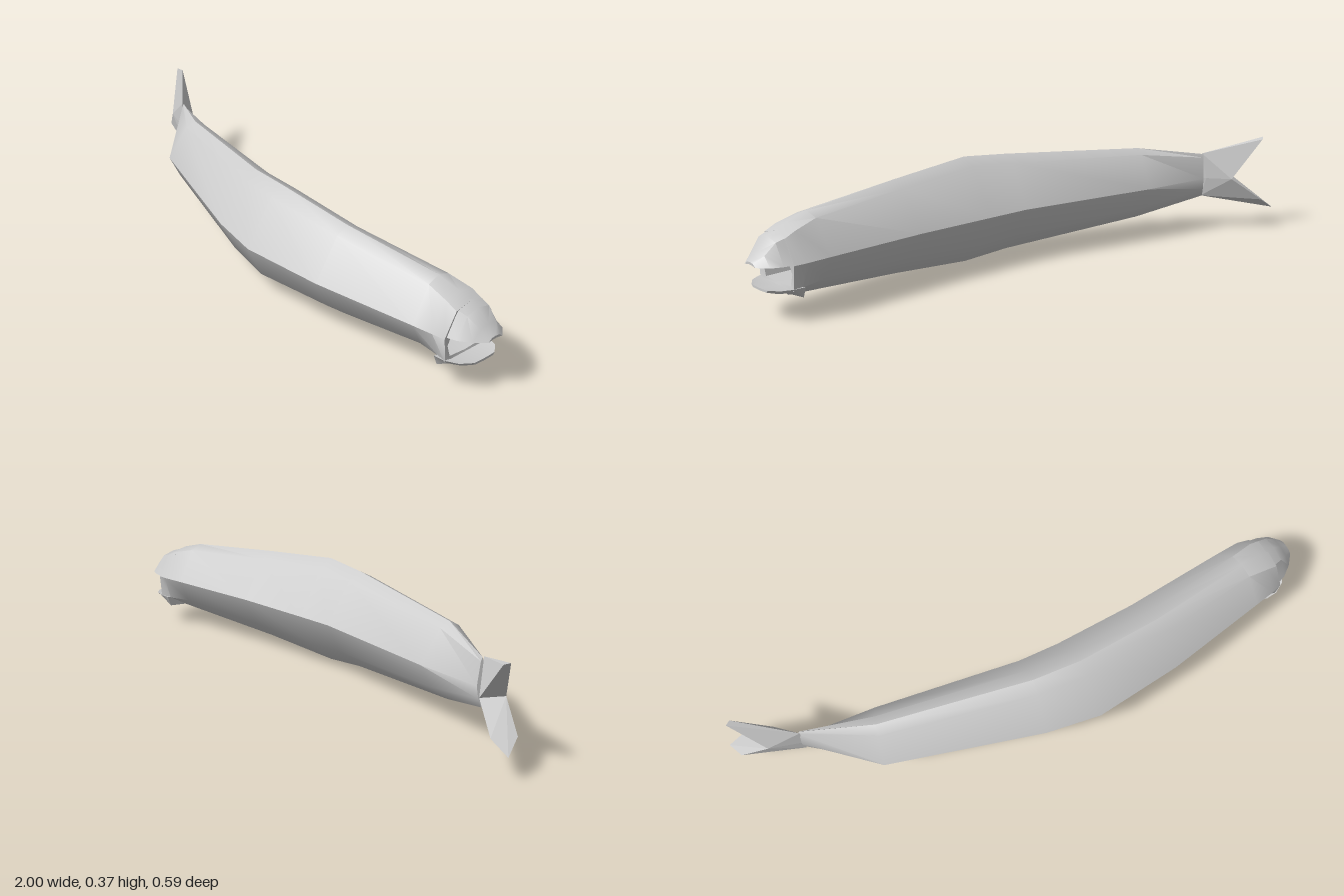
import * as THREE from 'three';
import { toCreasedNormals } from 'three/addons/utils/BufferGeometryUtils.js';
import { ConvexGeometry } from 'three/addons/geometries/ConvexGeometry.js';

const material = new THREE.MeshStandardMaterial({ color: 0xcccccc, side: THREE.DoubleSide });

// Skins a row of equal-length rings running along +x and caps both ends.
function loft(rings, crease = 0.7) {
  const n = rings[0].length;
  const pos = rings.flat(2);
  const index = [];
  for (let i = 0; i < rings.length - 1; i++) {
    for (let j = 0; j < n; j++) {
      const a = i * n + j, b = i * n + (j + 1) % n, c = a + n, d = b + n;
      index.push(a, c, b, b, c, d);
    }
  }
  [0, rings.length - 1].forEach((r, end) => {
    const centre = pos.length / 3;
    for (let k = 0; k < 3; k++) pos.push(rings[r].reduce((s, p) => s + p[k], 0) / n);
    for (let j = 0; j < n; j++) {
      const a = r * n + j, b = r * n + (j + 1) % n;
      index.push(centre, end ? b : a, end ? a : b);
    }
  });
  const geo = new THREE.BufferGeometry();
  geo.setAttribute('position', new THREE.Float32BufferAttribute(pos, 3));
  geo.setIndex(index);
  return toCreasedNormals(geo, crease);
}

// Eight-sided section: side, shoulder, back ridge, mirrored, then belly.
function section({ x, z, yaw = 0, w, mid = 0.187, top, bottom, up = [0.33, 0.86], low = [0.63, 0.6] }) {
  const U = top - mid, L = bottom - mid;
  const outline = [
    [1, 0], [up[0], up[1] * U], [0, U], [-up[0], up[1] * U],
    [-1, 0], [-low[0], low[1] * L], [0, L], [low[0], low[1] * L],
  ];
  return outline.map(([s, h]) => [x - Math.sin(yaw) * s * w, mid + h, z + Math.cos(yaw) * s * w]);
}

export function createModel() {
  const fish = new THREE.Group();
  fish.name = 'fish';
  const add = (name, geo) => {
    const mesh = new THREE.Mesh(geo, material);
    mesh.name = name;
    fish.add(mesh);
  };

  // Curved body; the last two sections fold back in as the mouth cavity.
  const jaw = { up: [0.55, 0.85], low: [0.85, 0.72] };
  const mouth = { z: 0.11, w: 0.08, mid: 0.15, top: 0.184, bottom: 0.106, up: [0.8, 0.95], low: [0.85, 0.9] };
  add('body', loft([
    { x: -0.78, z: -0.145, yaw: 0.6, w: 0.015, mid: 0.195, top: 0.285, bottom: 0.128 },
    { x: -0.555, z: -0.025, yaw: 0.35, w: 0.102, mid: 0.193, top: 0.322, bottom: 0.065 },
    { x: -0.045, z: 0.118, yaw: 0.19, w: 0.136, mid: 0.19, top: 0.358, bottom: 0.018 },
    { x: 0.12, z: 0.145, yaw: 0.03, w: 0.147, top: 0.37, bottom: 0 },
    { x: 0.42, z: 0.143, yaw: -0.03, w: 0.135, top: 0.343, bottom: 0.023 },
    { x: 0.78, z: 0.115, yaw: -0.08, w: 0.115, top: 0.312, bottom: 0.052, up: [0.4, 0.88] },
    { x: 0.86, z: 0.11, w: 0.11, mid: 0.186, top: 0.29, bottom: 0.058, up: [0.5, 0.87], low: [0.75, 0.65] },
    { x: 0.9, z: 0.11, w: 0.1, mid: 0.183, top: 0.272, bottom: 0.09, ...jaw, low: [0.92, 0.9] },
    { x: 0.895, ...mouth },
    { x: 0.78, ...mouth },
  ].map(section)));

  // Rounded snout above the mouth, with a shallow palate.
  add('upperJaw', loft([
    { x: 0.85, z: 0.11, w: 0.106, top: 0.288, bottom: 0.188 },
    { x: 0.93, z: 0.105, w: 0.085, top: 0.263, bottom: 0.194 },
    { x: 0.967, z: 0.1, w: 0.064, top: 0.222, bottom: 0.194 },
    { x: 0.997, z: 0.1, w: 0.03, top: 0.196, bottom: 0.188 },
  ].map(s => section({ ...s, mid: 0.184, ...jaw }))));

  // Thin lower lip plate, dished along the middle.
  add('lowerJaw', loft([
    { x: 0.86, z: 0.11, w: 0.098, top: 0.1, bottom: 0.062 },
    { x: 0.9, z: 0.11, w: 0.096, top: 0.1, bottom: 0.09 },
    { x: 0.94, z: 0.107, w: 0.078, top: 0.103, bottom: 0.094 },
    { x: 0.965, z: 0.105, w: 0.045, top: 0.106, bottom: 0.098 },
  ].map(s => section({ ...s, mid: 0.108, up: [0.7, 0.8], low: [0.85, 0.8] }))));

  // Forked tail: both lobes grow from the same root and notch.
  const v = (x, y, z) => new THREE.Vector3(x, y, z);
  const root = [v(-0.787, 0.195, -0.158), v(-0.773, 0.195, -0.132)];
  const notch = [v(-0.84, 0.196, -0.233), v(-0.893, 0.2, -0.175)];
  add('upperTailLobe', new ConvexGeometry([
    ...root, ...notch, v(-0.78, 0.286, -0.138),
    v(-0.972, 0.341, -0.265), v(-0.955, 0.335, -0.277),
  ]));
  add('lowerTailLobe', new ConvexGeometry([
    ...root, ...notch, v(-0.78, 0.127, -0.138),
    v(-1, 0.075, -0.298), v(-0.935, 0.115, -0.298), v(-0.98, 0.115, -0.23),
  ]));

  return fish;
}
